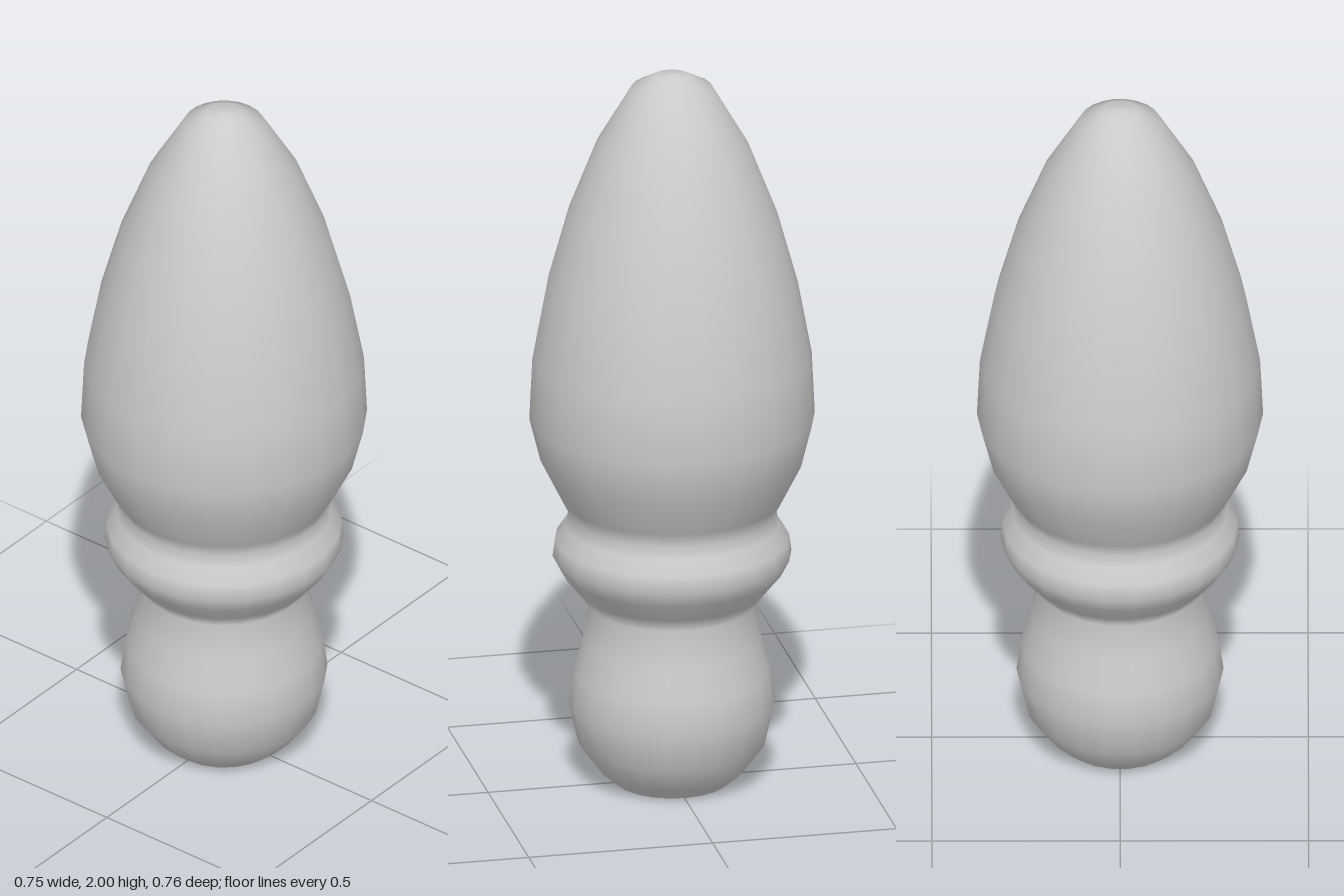
import * as THREE from 'three';

const SIDES = 22;
const material = new THREE.MeshStandardMaterial({ color: 0xcccccc });

// Turned part from [radius, height] pairs; seam ends get level normals so
// neighbouring parts shade smoothly into one another.
function turned(name, profile, seamBottom, seamTop) {
  const points = profile.map(([r, y]) => new THREE.Vector2(r, y));
  const geometry = new THREE.LatheGeometry(points, SIDES);
  const normal = geometry.attributes.normal;
  const count = points.length;
  for (let i = 0; i <= SIDES; i++) {
    const a = (i / SIDES) * Math.PI * 2;
    if (seamBottom) normal.setXYZ(i * count, Math.sin(a), 0, Math.cos(a));
    if (seamTop) normal.setXYZ(i * count + count - 1, Math.sin(a), 0, Math.cos(a));
  }
  const mesh = new THREE.Mesh(geometry, material);
  mesh.name = name;
  return mesh;
}

export function createModel() {
  const group = new THREE.Group();
  group.name = 'finial';

  // Rounded foot
  group.add(turned('footBulb', [
    [0.155, 0], [0.195, 0.035], [0.25, 0.11], [0.275, 0.22],
    [0.262, 0.31], [0.238, 0.4], [0.222, 0.5],
  ], false, true));

  // Flat underside
  const base = new THREE.Mesh(new THREE.CircleGeometry(0.155, SIDES), material);
  base.name = 'base';
  base.rotation.set(Math.PI / 2, 0, Math.PI / 2);
  group.add(base);

  // Ring between foot and tip
  group.add(turned('collar', [
    [0.222, 0.5], [0.25, 0.54], [0.295, 0.595], [0.318, 0.64],
    [0.312, 0.685], [0.285, 0.725], [0.275, 0.76],
  ], true, true));

  // Tall tapering tip
  group.add(turned('tip', [
    [0.275, 0.76], [0.295, 0.8], [0.35, 0.91], [0.38, 1.03], [0.372, 1.2],
    [0.335, 1.4], [0.28, 1.6], [0.202, 1.8], [0.108, 1.96], [0.05, 1.992], [0, 2],
  ], true, false));

  return group;
}
